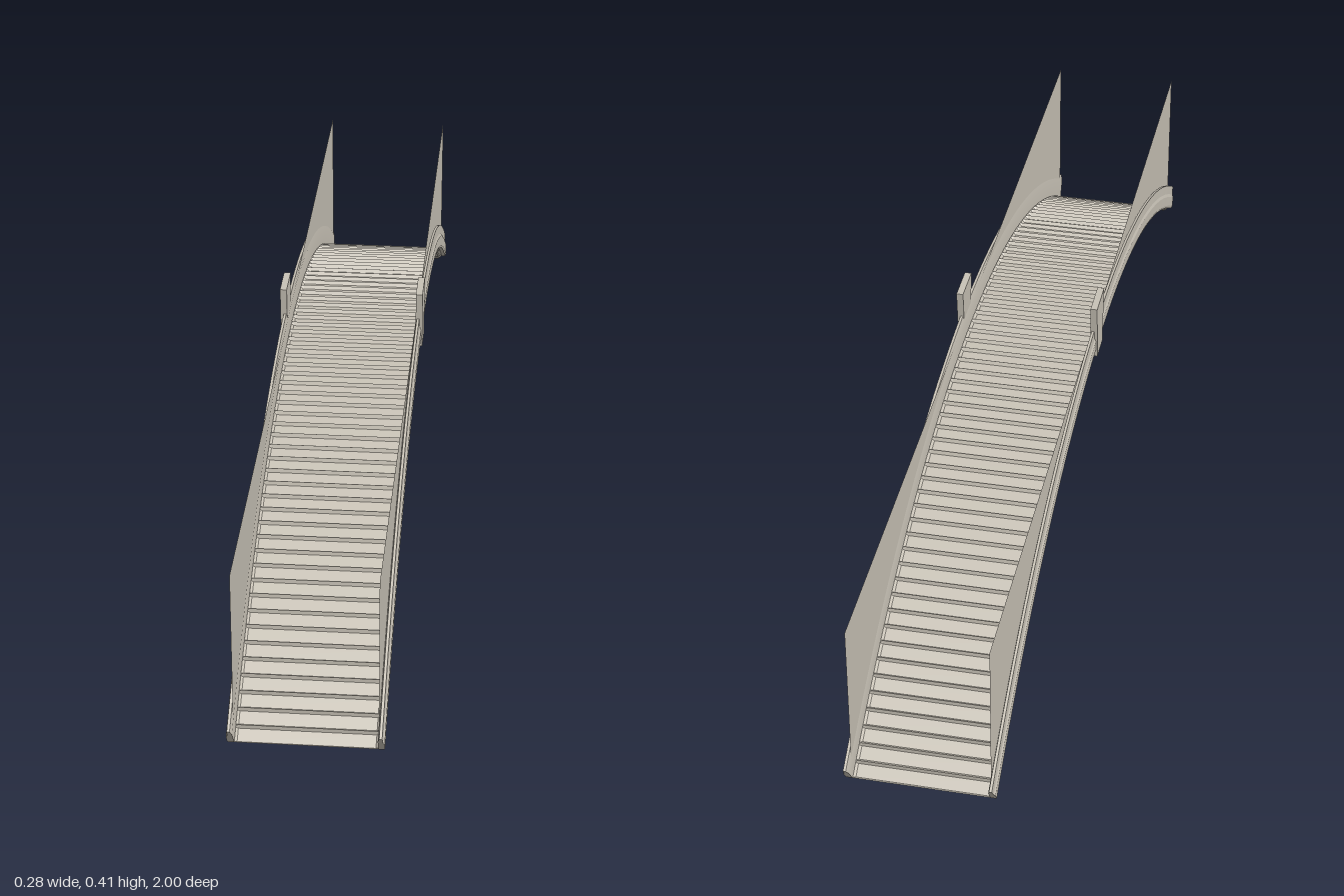
import * as THREE from 'three';
import { toCreasedNormals } from 'three/addons/utils/BufferGeometryUtils.js';

const CENTRE_Y = -1.418;   // height of the arch centre
const R_SOFFIT = 1.718;    // face of the vault stones
const R_JOINT = 1.725;     // bottom of the joints and of the rims
const ANGLE = 0.598;       // half the arch's sweep
const COURSES = 64;

// Arch vault: bevelled courses of stone with sunken joints between them
function vaultGeometry() {
  const xs = [-0.127, -0.12, 0.12, 0.127];
  const pos = [], index = [];
  const addRow = (angle, raised) => xs.forEach((x, i) => {
    const r = raised && (i === 1 || i === 2) ? R_SOFFIT : R_JOINT;
    pos.push(x, CENTRE_Y + r * Math.cos(angle), r * Math.sin(angle));
  });
  const pitch = 2 * ANGLE / COURSES, bevel = pitch * 0.12;
  for (let i = 0; i < COURSES; i++) {
    const a = -ANGLE + i * pitch;
    addRow(a, false);
    addRow(a + bevel, true);
    addRow(a + pitch - bevel, true);
  }
  addRow(ANGLE, false);
  for (let row = 0; row < COURSES * 3; row++) {
    for (let i = 0; i < 3; i++) {
      const a = row * 4 + i, b = a + 1, c = a + 4, d = a + 5;
      index.push(a, b, c, b, d, c);
    }
  }
  const indexed = new THREE.BufferGeometry();
  indexed.setAttribute('position', new THREE.Float32BufferAttribute(pos, 3));
  indexed.setIndex(index);
  const g = indexed.toNonIndexed();
  g.computeVertexNormals();
  return g;
}

// Moulding section of the rim: [distance from the middle, radius]
const RIM = [
  [0.124, 1.725], [0.135, 1.725], [0.1365, 1.73], [0.1365, 1.75],
  [0.134, 1.756], [0.133, 1.775], [0.128, 1.775], [0.125, 1.762],
];

export function createModel() {
  const model = new THREE.Group();
  const stone = new THREE.MeshStandardMaterial({ color: 0xc9c3b7, side: THREE.DoubleSide });
  stone.name = 'paleStone';
  const add = (name, geometry, parent = model) => {
    const mesh = new THREE.Mesh(geometry, stone);
    mesh.name = name;
    parent.add(mesh);
    return mesh;
  };

  add('archVault', vaultGeometry());

  // Lathe axis onto x, sweep start onto +y
  const turn = new THREE.Matrix4().makeBasis(
    new THREE.Vector3(0, 0, 1), new THREE.Vector3(1, 0, 0), new THREE.Vector3(0, 1, 0));

  for (const side of [1, -1]) {
    const label = side > 0 ? 'left' : 'right';

    // Moulded rim following the arch, with closed ends
    const rim = new THREE.Group();
    rim.name = label + 'ArchRim';
    model.add(rim);
    const section = RIM.map(([x, r]) => new THREE.Vector2(side * x, r));
    const profile = [...section, section[0]].map((p) => new THREE.Vector2(p.y, p.x));
    if (side < 0) profile.reverse();
    const sweep = new THREE.LatheGeometry(profile, 64, -ANGLE, 2 * ANGLE);
    sweep.applyMatrix4(turn).translate(0, CENTRE_Y, 0);
    add('rimMoulding', toCreasedNormals(sweep, 0.2), rim);
    for (const end of [1, -1]) {
      const cap = new THREE.ShapeGeometry(new THREE.Shape(section));
      cap.rotateX(end * ANGLE).translate(0, CENTRE_Y, 0);
      add('rimEnd', cap, rim);
    }

    // Thin spandrel wall, flat on top and cut to the arch below
    const wall = new THREE.Shape();
    wall.moveTo(-0.97, 0.345);
    for (let i = 0; i <= 64; i++) {
      const a = Math.asin(0.97 / R_JOINT) * (i / 32 - 1);
      wall.lineTo(R_JOINT * Math.sin(a), CENTRE_Y + R_JOINT * Math.cos(a));
    }
    wall.lineTo(0.97, 0.345);
    const wallGeometry = new THREE.ShapeGeometry(wall);
    wallGeometry.rotateY(-Math.PI / 2).translate(side * 0.1255, 0, 0);
    add(label + 'SpandrelWall', wallGeometry);

    // Tapered keystone at the crown
    const key = new THREE.Shape([
      new THREE.Vector2(-0.027, 0.294), new THREE.Vector2(0.027, 0.294),
      new THREE.Vector2(0.038, 0.412), new THREE.Vector2(-0.038, 0.412),
    ]);
    const keyGeometry = new THREE.ExtrudeGeometry(key, { depth: 0.013, bevelEnabled: false });
    keyGeometry.translate(0, 0, -0.0065).rotateY(-Math.PI / 2).translate(side * 0.1325, 0, 0);
    add(label + 'Keystone', keyGeometry);
  }
  return model;
}
